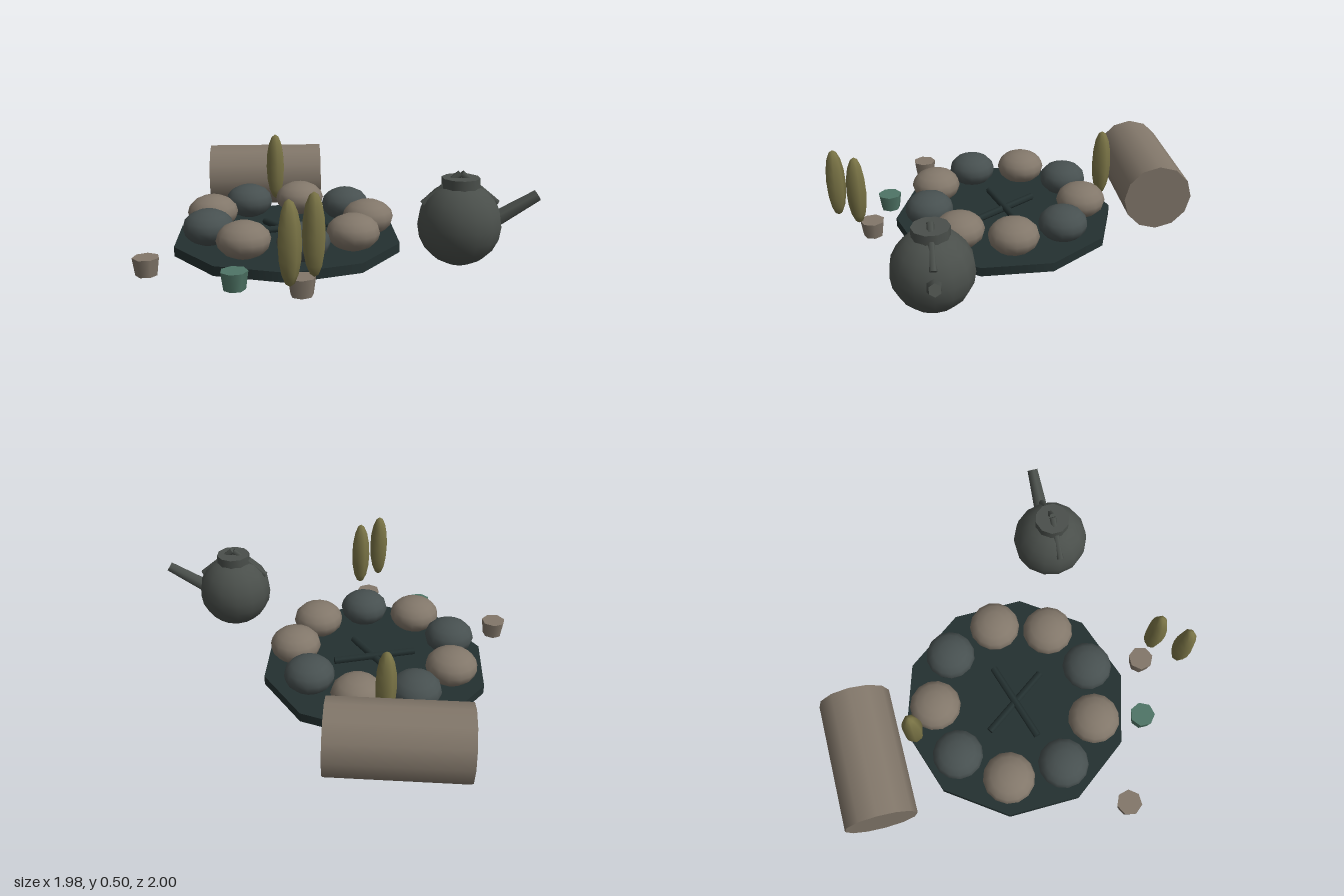
import * as THREE from 'three';

const mat = (name, color) => {
  const m = new THREE.MeshStandardMaterial({ color });
  m.name = name;
  return m;
};

export function createModel() {
  const taupe = mat('taupe', 0x82776a);
  const iron = mat('iron', 0x4a4f4b);
  const slate = mat('slate', 0x475050);
  const ash = mat('ash', 0x243131);
  const jade = mat('jade', 0x4f7566);
  const olive = mat('olive', 0x7a7446);

  const root = new THREE.Group();
  root.name = 'campSite';
  const add = (parent, name, geometry, material, x = 0, y = 0, z = 0) => {
    const mesh = new THREE.Mesh(geometry, material);
    mesh.name = name;
    mesh.position.set(x, y, z);
    parent.add(mesh);
    return mesh;
  };
  // Straight tapered rod between two points
  const rod = (parent, name, a, b, r0, r1, sides, material, turn = 0) => {
    const from = new THREE.Vector3(...a), to = new THREE.Vector3(...b);
    const dir = to.clone().sub(from);
    const geometry = new THREE.CylinderGeometry(r1, r0, dir.length(), sides, 1, false, turn);
    const mesh = add(parent, name, geometry, material);
    mesh.position.copy(from).add(to).multiplyScalar(0.5);
    mesh.quaternion.setFromUnitVectors(new THREE.Vector3(0, 1, 0), dir.normalize());
    return mesh;
  };

  // Fire pit: ten-sided base, ring of stones, crossed sticks
  const pit = new THREE.Group();
  pit.name = 'firePit';
  pit.position.set(-0.245, 0, 0.02);
  root.add(pit);
  add(pit, 'pitBase', new THREE.CylinderGeometry(0.612, 0.612, 0.05, 10), ash, 0, 0.035, 0);

  const stone = new THREE.SphereGeometry(1, 14, 8);
  for (let i = 0; i < 9; i++) {
    const a = (i / 9) * Math.PI * 2;
    const dark = i > 0 && i % 2 === 0;
    const r = dark ? 0.133 : 0.137;
    const mesh = add(pit, 'ringStone', stone, dark ? slate : taupe,
      Math.cos(a) * 0.432, 0.152, Math.sin(a) * 0.432);
    mesh.scale.set(r, 0.094, r);
    mesh.rotation.y = -a;
  }
  rod(pit, 'stick', [-0.215, 0.095, 0.064], [0.215, 0.095, -0.064], 0.02, 0.02, 6, ash);
  rod(pit, 'stick', [-0.122, 0.085, -0.175], [0.122, 0.085, 0.175], 0.02, 0.02, 6, ash);

  // Log bench lying behind the pit
  rod(root, 'logBench', [-0.71, 0.2, -0.813], [-0.035, 0.2, -0.813], 0.188, 0.188, 12, taupe);

  // Kettle
  const kettle = new THREE.Group();
  kettle.name = 'kettle';
  kettle.position.set(0.59, 0, 0.455);
  root.add(kettle);
  add(kettle, 'kettleBody', new THREE.SphereGeometry(0.206, 14, 10), iron, 0, 0.236, 0);
  add(kettle, 'kettleLid', new THREE.CylinderGeometry(0.093, 0.093, 0.06, 10), iron, 0, 0.435, 0);
  for (const s of [-1, 1]) {
    rod(kettle, 'kettleHandle', [s * 0.182, 0.335, 0], [s * 0.002, 0.485, 0], 0.018, 0.018, 6, iron);
  }
  rod(kettle, 'kettleSpout', [0.13, 0.225, 0], [0.38, 0.37, 0], 0.043, 0.03, 6, iron, Math.PI / 6);

  // Cups
  const cup = new THREE.CylinderGeometry(0.067, 0.054, 0.09, 7);
  [[-0.93, 0.45, taupe], [-0.495, 0.668, jade], [-0.185, 0.762, taupe]].forEach(([x, z, m], i) => {
    add(root, 'cup', cup, m, x, 0.045, z).rotation.y = 0.45 + i * 1.1;
  });

  // Hanging spindle-shaped leaves
  const leaf = new THREE.SphereGeometry(1, 7, 8);
  [[-0.308, -0.547], [-0.24, 0.945], [-0.13, 0.828]].forEach(([x, z], i) => {
    const mesh = add(root, 'leaf', leaf, olive, x, 0.306, z);
    mesh.scale.set(0.054, 0.195, 0.054);
    mesh.rotation.y = i * 1.3;
  });

  return root;
}
